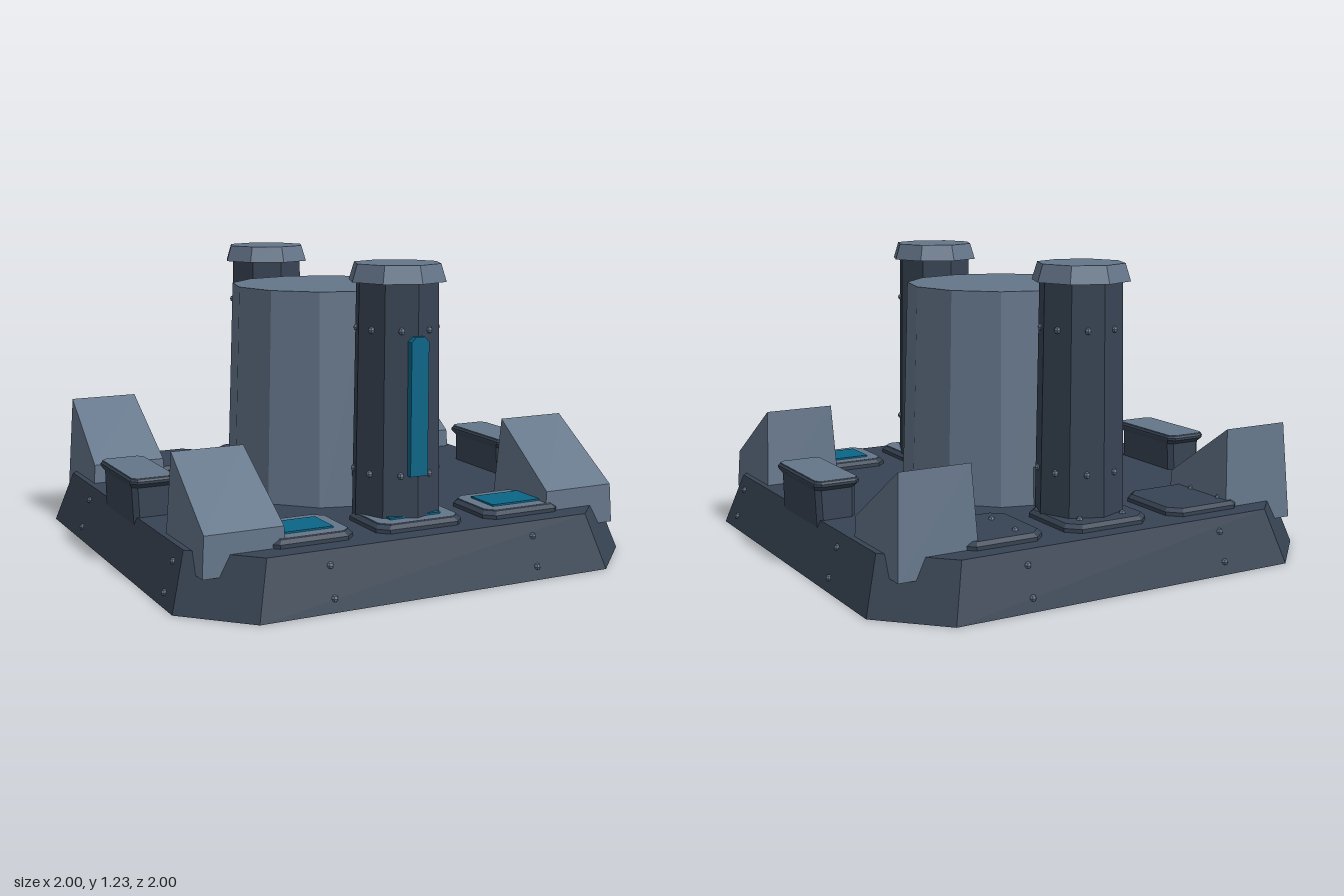
import * as THREE from 'three';

const flat = (name, color) => new THREE.MeshStandardMaterial({ name, color, flatShading: true, side: THREE.DoubleSide });

// Stacked rectangles with cut corners: [halfX, halfZ, cut, y]; open below, capped on top
function loft(sections) {
  const rings = sections.map(([x, z, c, y]) => [
    [x, y, c - z], [x, y, z - c], [x - c, y, z], [c - x, y, z],
    [-x, y, z - c], [-x, y, c - z], [c - x, y, -z], [x - c, y, -z]]);
  const pos = [];
  for (let r = 0; r + 1 < rings.length; r++) {
    const a = rings[r], b = rings[r + 1];
    for (let i = 0; i < 8; i++) {
      const j = (i + 1) % 8;
      pos.push(...a[i], ...b[i], ...a[j], ...a[j], ...b[i], ...b[j]);
    }
  }
  const top = rings[rings.length - 1];
  for (let i = 1; i < 7; i++) pos.push(...top[0], ...top[i + 1], ...top[i]);
  return fromPositions(pos);
}

function fromPositions(pos) {
  const g = new THREE.BufferGeometry();
  g.setAttribute('position', new THREE.Float32BufferAttribute(pos, 3));
  g.computeVertexNormals();
  return g;
}

// Tapered wedge, open below: low front edge, high back edge
function wedgeGeometry() {
  const front = [[0.168, 0.14, 0.19], [0.158, 0.30, 0.185]];
  const back = [[0.168, 0.14, -0.195], [0.148, 0.54, -0.165]];
  const side = s => [...front, ...back].map(([x, y, z]) => [x * s, y, z]);
  const [rA, rB, rC, rD] = side(1), [lA, lB, lC, lD] = side(-1);
  const pos = [];
  const quad = (a, b, c, d) => pos.push(...a, ...b, ...c, ...a, ...c, ...d);
  quad(lA, rA, rB, lB);
  quad(lB, rB, rD, lD);
  quad(rC, lC, lD, rD);
  quad(rA, rC, rD, rB);
  quad(lC, lA, lB, lD);
  return fromPositions(pos);
}

export function createModel() {
  const model = new THREE.Group();
  model.name = 'fortifiedPlatform';
  const dark = flat('dark slate', 0x374353);
  const light = flat('light steel', 0x65768a);
  const teal = flat('teal glow', 0x0b6688);

  const add = (name, geo, mat, x = 0, y = 0, z = 0, parent = model) => {
    const m = new THREE.Mesh(geo, mat);
    m.name = name;
    m.position.set(x, y, z);
    parent.add(m);
    return m;
  };
  const rivetGeo = new THREE.SphereGeometry(0.014, 6, 4);
  const rivet = (x, y, z, parent) => add('rivet', rivetGeo, light, x, y, z, parent);

  // Hollow sloped base
  add('base', loft([[1, 1, 0.24, 0], [0.93, 0.93, 0.23, 0.22]]), dark);
  for (const y of [0.05, 0.165]) {
    const edge = 1 - 0.07 * y / 0.22;
    for (const s of [-1, 1]) {
      rivet(-0.455, y, s * edge);
      rivet(0.435, y, s * edge);
      rivet(s * edge, y, 0.64);
      rivet(s * edge, y, -0.39);
    }
  }

  // Central twelve-sided drum, with its wall running through the deck
  add('drumWall', new THREE.CylinderGeometry(0.40, 0.432, 0.95, 12, 1, true), light, 0, 0.625, 0);
  const drumTop = add('drumTop', new THREE.CircleGeometry(0.40, 12), light, 0, 1.1, 0);
  drumTop.rotation.x = -Math.PI / 2;

  // Front and back pillars and their links to the drum
  const link = loft([[0.08, 0.19, 0.02, 0.16], [0.08, 0.19, 0.02, 0.38]]);
  const slit = new THREE.Shape();
  slit.moveTo(-0.038, 0.42).lineTo(0.038, 0.42);
  slit.lineTo(0.038, 0.94).lineTo(0.02, 0.96).lineTo(-0.02, 0.96).lineTo(-0.038, 0.94);
  slit.closePath();
  const slitGeo = new THREE.ExtrudeGeometry(slit, { depth: 0.04, bevelEnabled: false });
  for (const s of [1, -1]) {
    const pillar = new THREE.Group();
    pillar.name = s > 0 ? 'frontPillar' : 'backPillar';
    pillar.position.z = s * 0.62;
    model.add(pillar);
    add('pillarShaft', new THREE.CylinderGeometry(0.166, 0.18, 0.94, 8), dark, 0, 0.69, 0, pillar);
    add('pillarCap', new THREE.CylinderGeometry(0.175, 0.197, 0.07, 8), light, 0, 1.195, 0, pillar);
    add('glowStrip', slitGeo, teal, 0, 0, 0.145, pillar);
    for (const [y, r] of [[0.42, 0.165], [0.98, 0.157]])
      for (let i = 0; i < 8; i++) {
        const a = (i + 0.5) * Math.PI / 4;
        rivet(r * Math.sin(a), y, r * Math.cos(a), pillar);
      }
    add('drumLink', link, light, 0, 0, s * 0.29);
  }

  // Deck pads: lit ones in front, plain ones at the back
  for (const x of [-0.47, 0, 0.47]) {
    const hx = x ? 0.18 : 0.19;
    add('frontPad', loft([[hx, 0.15, 0.04, 0.215], [hx, 0.15, 0.04, 0.235], [hx - 0.015, 0.135, 0.035, 0.25]]), dark, x, 0, 0.7);
    add('frontPadPlate', loft([[hx - 0.016, 0.134, 0.035, 0.249], [hx - 0.016, 0.134, 0.035, 0.254]]), light, x, 0, 0.7);
    add('padLight', new THREE.BoxGeometry(0.225, 0.008, 0.16), teal, x, 0.257, 0.7);
    add('backPad', loft([[hx, 0.18, 0.05, 0.215], [hx, 0.18, 0.05, 0.235], [hx - 0.015, 0.165, 0.045, 0.25]]), dark, x, 0, -0.68);
  }
  for (const z of [-0.78, -0.6])
    for (const x of [-0.58, 0.39, -0.1, 0.1]) rivet(x, 0.25, z);
  for (const x of [-0.58, 0.58]) rivet(x, 0.22, 0.535);

  // Corner wedges and side lockers
  const wedge = wedgeGeometry();
  const locker = loft([[0.08, 0.195, 0.02, 0.19], [0.085, 0.19, 0.02, 0.34], [0.097, 0.215, 0.025, 0.36], [0.097, 0.215, 0.025, 0.37], [0.09, 0.208, 0.02, 0.378]]);
  const lid = loft([[0.089, 0.207, 0.02, 0.376], [0.089, 0.207, 0.02, 0.382]]);
  for (const s of [1, -1]) {
    const side = s > 0 ? 'left' : 'right';
    add(side + 'FrontWedge', wedge, light, s * 0.742, 0, 0.643);
    add(side + 'BackWedge', wedge, light, s * 0.742, 0, -0.645);
    add(side + 'Locker', locker, dark, s * 0.86, 0, 0);
    add(side + 'LockerLid', lid, light, s * 0.86, 0, 0);
  }
  return model;
}
